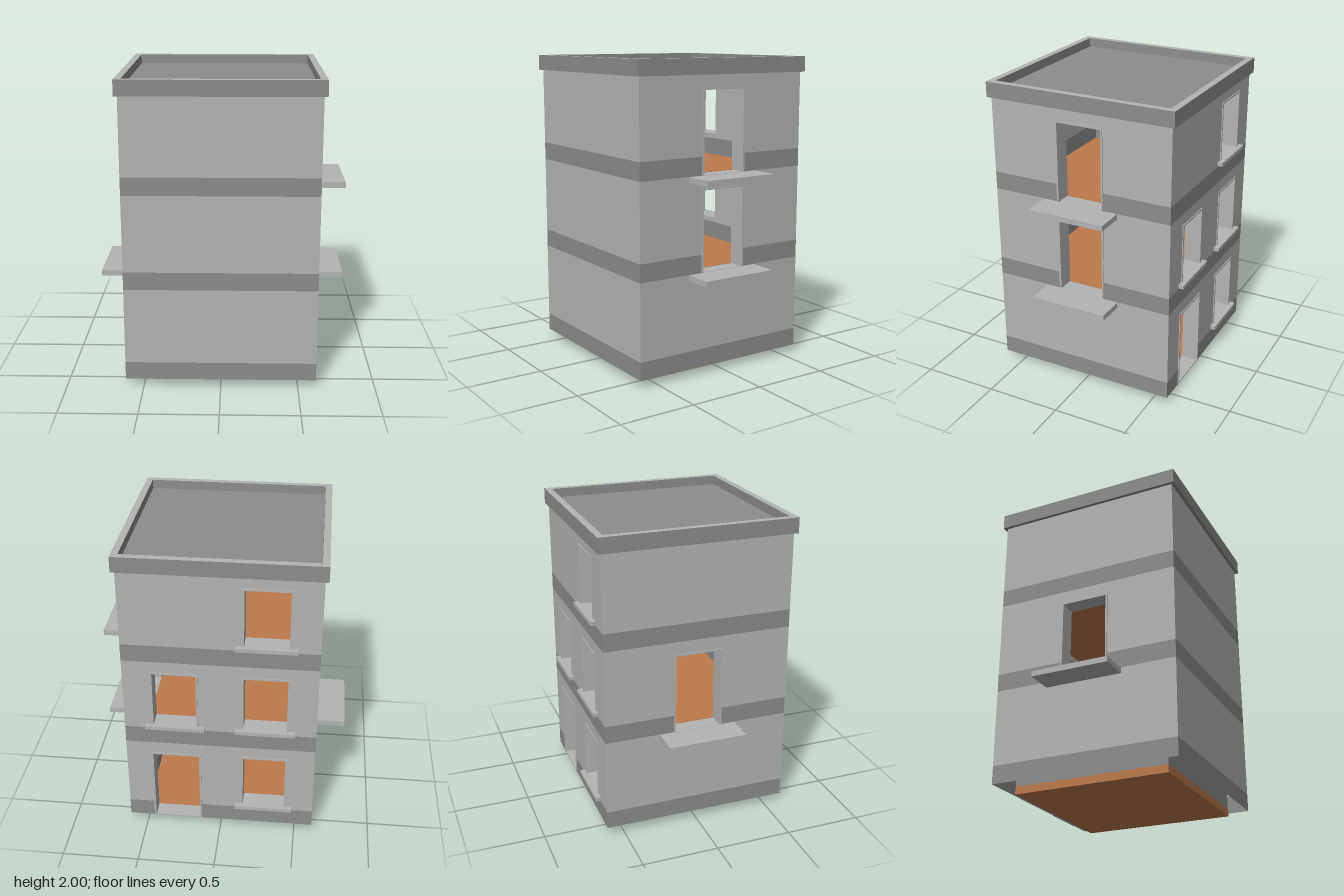
import * as THREE from 'three';

const mat = (name, color, side = THREE.FrontSide) => {
  const m = new THREE.MeshStandardMaterial({ color, side });
  m.name = name;
  return m;
};

export function createModel() {
  const light = mat('light grey plaster', 0xb4b4b4, THREE.DoubleSide);
  const dark = mat('dark grey stone', 0x8d8d8d, THREE.DoubleSide);
  const wood = mat('orange wood', 0xbc7a4c);

  const OUT = 0.617, IN = 0.51, BASE = 0.05, STOREY = 0.617, BAND = 0.117, BAR = 0.012;
  const model = new THREE.Group();
  model.name = 'building';
  const body = new THREE.Group();
  body.name = 'body';
  body.position.z = 0.0075;
  model.add(body);

  // box given by its lower and upper corners
  const box = (parent, name, material, [x0, y0, z0], [x1, y1, z1]) => {
    const mesh = new THREE.Mesh(new THREE.BoxGeometry(x1 - x0, y1 - y0, z1 - z0), material);
    mesh.position.set((x0 + x1) / 2, (y0 + y1) / 2, (z0 + z1) / 2);
    mesh.name = name;
    parent.add(mesh);
    return mesh;
  };

  // flat wall sheet, cut into rectangles around its openings
  const sheet = (parent, name, material, half, y0, y1, z, inward, openings) => {
    const piece = (a, b, c, d) => {
      if (b - a < 1e-4 || d - c < 1e-4) return;
      const mesh = new THREE.Mesh(new THREE.PlaneGeometry(b - a, d - c), material);
      mesh.position.set((a + b) / 2, (c + d) / 2, z);
      if (inward) mesh.rotation.y = Math.PI;
      mesh.name = name;
      parent.add(mesh);
    };
    let x = -half;
    for (const o of openings) {
      const a = o.x - o.w / 2, b = o.x + o.w / 2;
      piece(x, a, y0, y1);
      piece(a, b, y0, Math.min(y1, Math.max(y0, o.y0)));
      piece(a, b, Math.max(y0, Math.min(y1, o.y1)), y1);
      x = b;
    }
    piece(x, half, y0, y1);
  };

  // three-sided lining through the wall thickness
  const frame = (parent, o) => {
    const a = o.w / 2, h = o.y1 - o.y0;
    const s = new THREE.Shape();
    [[-a, 0], [-a, h], [a, h], [a, 0], [a - BAR, 0], [a - BAR, h - BAR], [BAR - a, h - BAR], [BAR - a, 0]]
      .forEach(([x, y], i) => (i ? s.lineTo(x, y) : s.moveTo(x, y)));
    const geo = new THREE.ExtrudeGeometry(s, { depth: OUT - IN + 0.006, bevelEnabled: false });
    const mesh = new THREE.Mesh(geo, light);
    mesh.position.set(o.x, o.y0, IN);
    mesh.name = o.kind + 'Frame';
    parent.add(mesh);
  };

  const floorY = (k) => BASE + STOREY * k;
  const door = (k, x, kind) => ({ kind, x, w: 0.325, y0: floorY(k), y1: floorY(k) + 0.535 });
  const win = (k, x) => ({ kind: 'window', x, w: 0.3, y0: floorY(k) + 0.15, y1: floorY(k) + 0.542 });

  // openings per storey, ordered along each wall's own x axis
  const C = 0.289;
  const sides = [
    { name: 'frontWall', turn: 0, storeys: [[], [], []] },
    { name: 'leftWall', turn: Math.PI / 2, storeys: [[], [door(1, 0, 'balconyDoor')], [door(2, 0, 'balconyDoor')]] },
    { name: 'backWall', turn: Math.PI, storeys: [
      [door(0, -C, 'entranceDoor'), win(0, C)], [win(1, -C), win(1, C)], [win(2, C)]] },
    { name: 'rightWall', turn: -Math.PI / 2, storeys: [[], [door(1, 0, 'balconyDoor')], []] },
  ];

  for (const side of sides) {
    const wall = new THREE.Group();
    wall.name = side.name;
    wall.rotation.y = side.turn;
    body.add(wall);
    side.storeys.forEach((openings, k) => {
      const y = floorY(k);
      for (const [half, inward] of [[OUT, false], [IN, true]]) {
        sheet(wall, 'stoneBand', dark, half, y, y + BAND, half, inward, openings);
        sheet(wall, 'plasterWall', light, half, y + BAND, y + STOREY, half, inward, openings);
      }
      for (const o of openings) {
        frame(wall, o);
        if (o.kind === 'window')
          box(wall, 'windowSill', light, [o.x - 0.19, o.y0 - 0.025, IN], [o.x + 0.19, o.y0, 0.652]);
        else if (o.kind === 'balconyDoor')
          box(wall, 'balcony', light, [-0.257, y - 0.038, IN], [0.257, y - 0.002, 0.803]);
        else
          box(wall, 'threshold', light, [o.x - o.w / 2, y - 0.002, IN], [o.x + o.w / 2, y + 0.006, OUT]);
      }
    });
  }

  // wooden floor of each storey
  for (let k = 0; k < 3; k++)
    box(body, 'floor', wood, [-IN - 0.002, floorY(k) - 0.05, -IN - 0.002], [IN + 0.002, floorY(k), IN + 0.002]);

  // roof deck and parapet with a pale top
  const R = 0.638, P = 0.594, T = 1.9;
  box(body, 'roofDeck', dark, [-P, T, -P], [P, T + 0.04, P]);
  const rim = [dark, dark, light, dark, dark, dark];
  for (const s of [-1, 1]) {
    const a = Math.min(s * P, s * R), b = Math.max(s * P, s * R);
    box(body, 'parapet', rim, [-R, T, a], [R, 2, b]);
    box(body, 'parapet', rim, [a, T, -P], [b, 2, P]);
  }
  return model;
}
